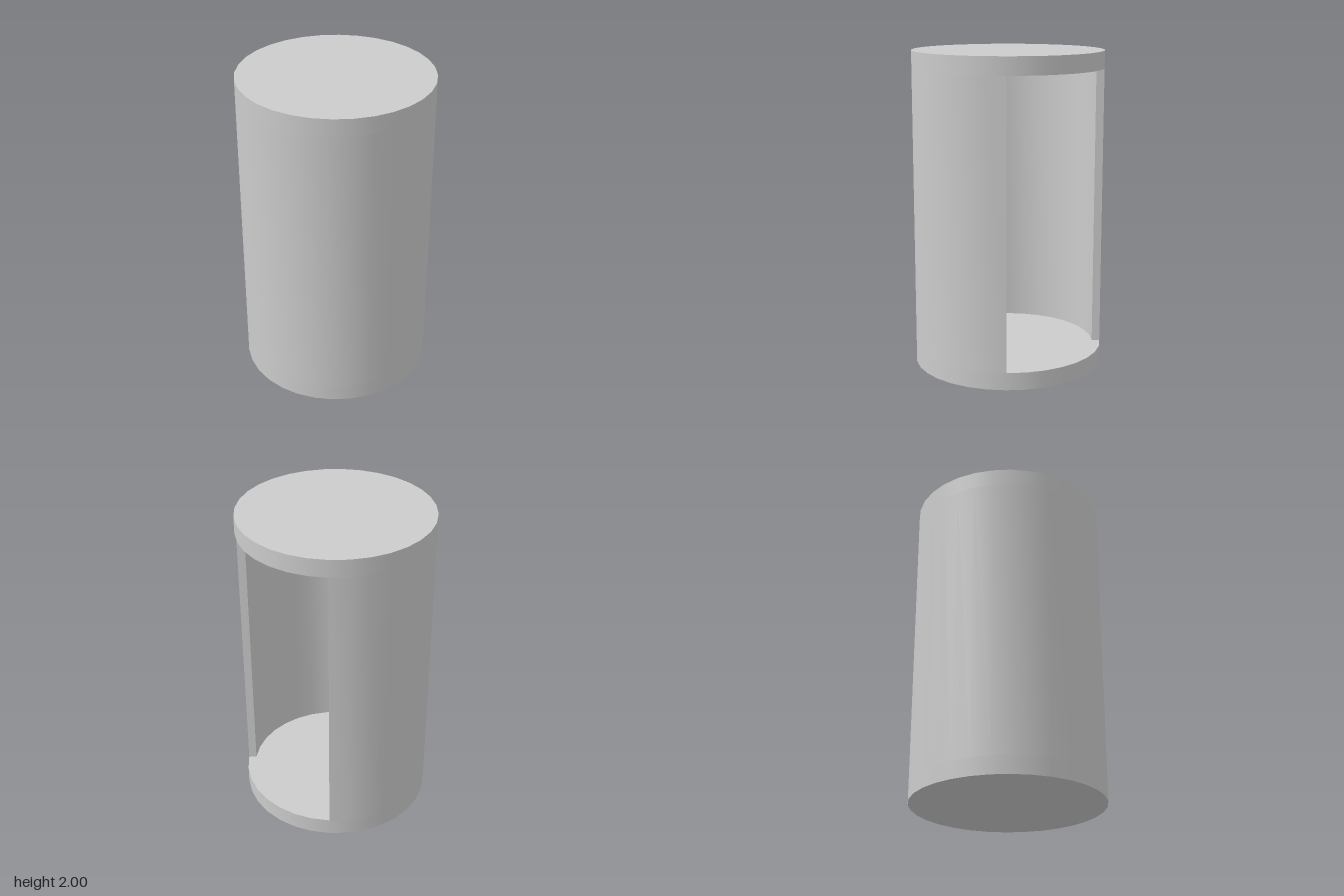
import * as THREE from 'three';
import { toCreasedNormals } from 'three/addons/utils/BufferGeometryUtils.js';

const RADIUS = 0.6, INNER = 0.55, HEIGHT = 2, CAP = 0.11;
const OPENING = Math.PI / 4; // half angle of the side opening, centred on +x

export function createModel() {
  const group = new THREE.Group();
  const material = new THREE.MeshStandardMaterial({ color: 0xcccccc });

  const add = (name, geometry, y) => {
    const mesh = new THREE.Mesh(geometry, material);
    mesh.name = name;
    mesh.position.y = y;
    group.add(mesh);
  };

  // Solid end discs
  const disc = new THREE.CylinderGeometry(RADIUS, RADIUS, CAP, 32);
  add('base', disc, CAP / 2);
  add('lid', disc, HEIGHT - CAP / 2);

  // Three-quarter ring wall between the discs, open towards +x
  const ring = new THREE.Shape();
  ring.absarc(0, 0, RADIUS, OPENING, 2 * Math.PI - OPENING, false);
  ring.absarc(0, 0, INNER, 2 * Math.PI - OPENING, OPENING, true);
  ring.closePath();
  const wall = new THREE.ExtrudeGeometry(ring, {
    depth: HEIGHT - 2 * CAP, bevelEnabled: false, curveSegments: 12,
  });
  wall.rotateX(-Math.PI / 2);
  add('wall', toCreasedNormals(wall, Math.PI / 6), CAP);

  return group;
}
